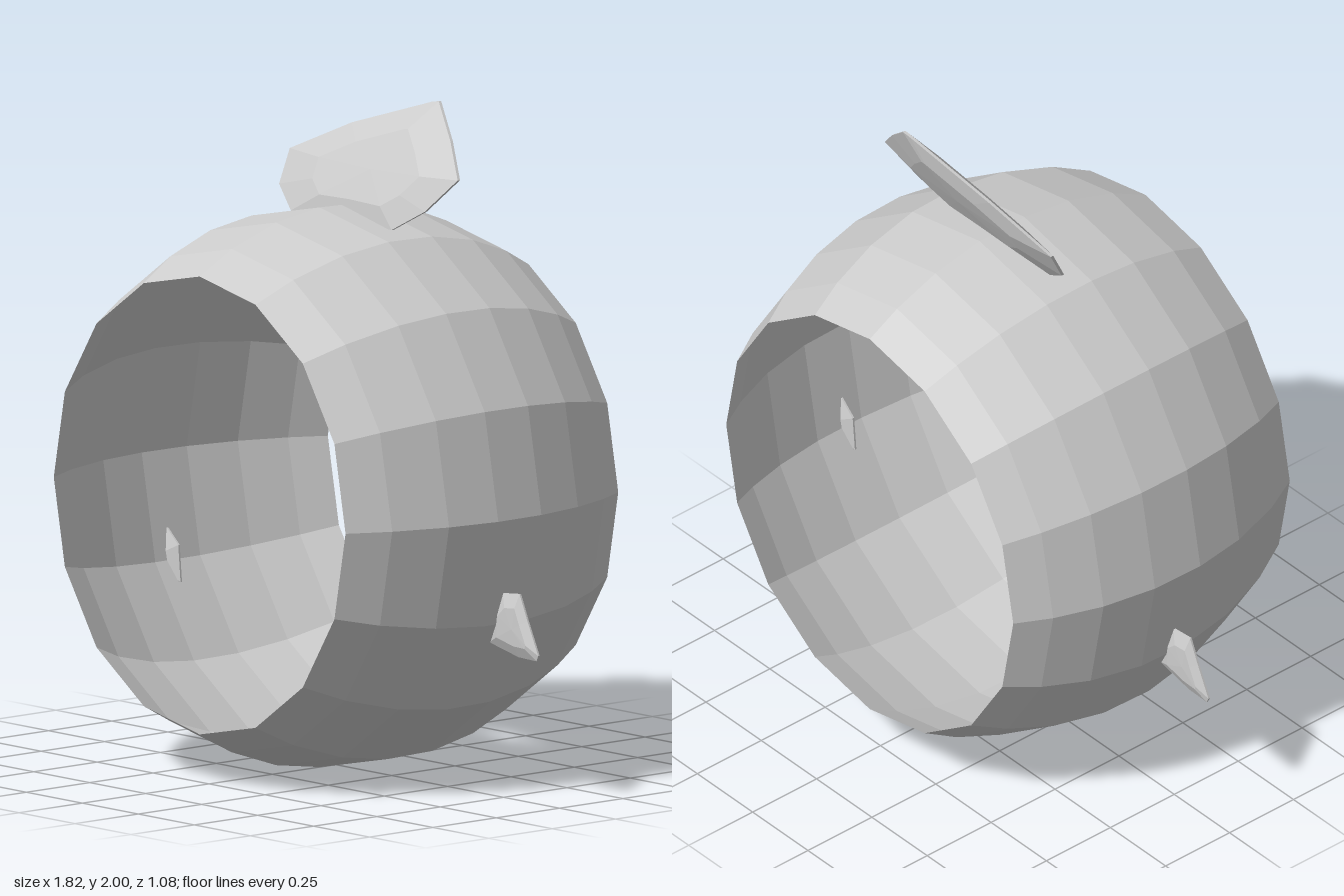
import * as THREE from 'three';

// Flat, lens-shaped fin: thin rim, inset rings and centre points on both sides.
// zAt gives the mid-plane depth at a height, so a fin can lean back.
function finGeometry(outline, half, zAt) {
  const n = outline.length;
  const cx = outline.reduce((s, p) => s + p[0], 0) / n;
  const cy = outline.reduce((s, p) => s + p[1], 0) / n;
  const pos = [], idx = [];
  const ring = (k, dz) => outline.forEach(([px, py]) => {
    const x = cx + (px - cx) * k, y = cy + (py - cy) * k;
    pos.push(x, y, zAt(y) + dz);
  });
  ring(0.6, half * 0.9);
  ring(1, half * 0.15);
  ring(1, -half * 0.15);
  ring(0.6, -half * 0.9);
  pos.push(cx, cy, zAt(cy) + half, cx, cy, zAt(cy) - half);
  for (let i = 0; i < n; i++) {
    const j = (i + 1) % n;
    idx.push(4 * n, i, j);
    for (let r = 0; r < 3; r++) {
      const a = r * n + i, b = r * n + j;
      idx.push(a, a + n, b + n, a, b + n, b);
    }
    idx.push(4 * n + 1, 3 * n + j, 3 * n + i);
  }
  const geo = new THREE.BufferGeometry();
  geo.setAttribute('position', new THREE.Float32BufferAttribute(pos, 3));
  geo.setIndex(idx);
  geo.computeVertexNormals();
  return geo;
}

export function createModel() {
  const model = new THREE.Group();
  model.name = 'finnedBarrel';
  const grey = new THREE.MeshStandardMaterial({ color: 0xcccccc, flatShading: true, side: THREE.DoubleSide });
  grey.name = 'light grey';

  const add = (name, geo) => {
    const mesh = new THREE.Mesh(geo, grey);
    mesh.name = name;
    model.add(mesh);
  };

  // Open barrel shell: middle band of a 16-sided ellipsoid, axis along z
  const bands = [0.537, 0.41, 0.235, 0.062, -0.112, -0.285, -0.435, -0.542];
  const profile = bands.map(z => new THREE.Vector2(0.842 * Math.sqrt(1 - (z / 0.93) ** 2), -z));
  const shell = new THREE.LatheGeometry(profile, 16);
  shell.rotateX(-Math.PI / 2);
  shell.scale(0.948, 1, 1);
  shell.translate(0, 0.842, 0);
  add('shell', shell);

  // Top fin, leaning back (outline runs counter-clockwise)
  const topOutline = [
    [-0.22, 1.635], [0, 1.64], [0.23, 1.635], [0.34, 1.7], [0.43, 1.8], [0.34, 1.9],
    [0.23, 2], [0.2, 1.995], [-0.1, 1.9], [-0.32, 1.8], [-0.31, 1.7],
  ];
  add('topFin', finGeometry(topOutline, 0.032, y => -0.022 - 0.51 * (y - 1.635)));

  // Small side fins, mirrored, with roots passing through the shell
  const sideOutline = [
    [0.69, 0.46], [0.82, 0.432], [0.9, 0.43], [0.908, 0.447],
    [0.86, 0.545], [0.825, 0.622], [0.75, 0.615], [0.7, 0.57],
  ];
  add('leftFin', finGeometry(sideOutline, 0.02, () => 0));
  const mirrored = sideOutline.map(([x, y]) => [-x, y]).reverse();
  add('rightFin', finGeometry(mirrored, 0.02, () => 0));

  return model;
}
